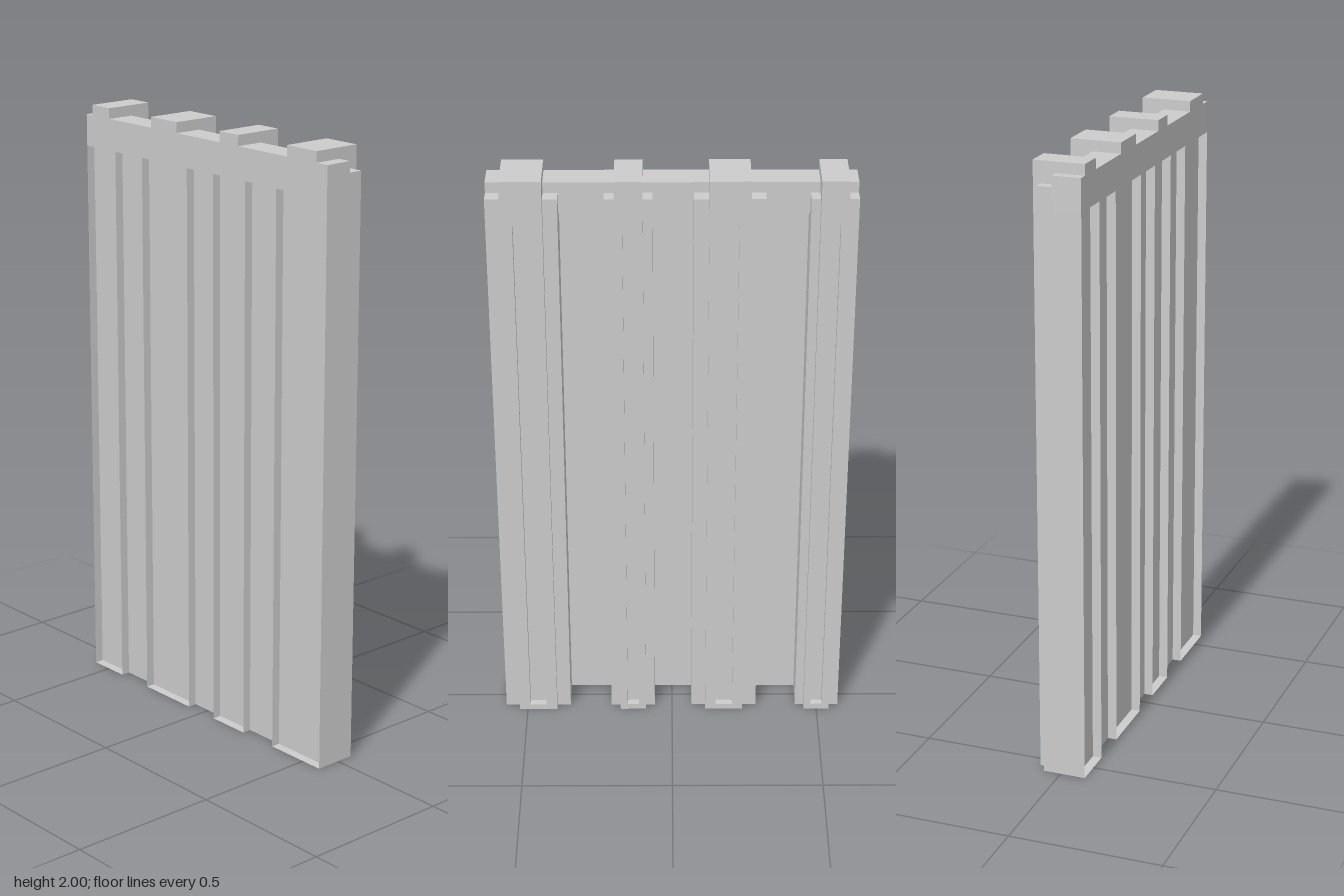
import * as THREE from 'three';

const material = new THREE.MeshStandardMaterial({ color: 0xcccccc, side: THREE.DoubleSide, flatShading: true });

const BACK = -0.083, BEAM_FRONT = 0.01, PIER_FRONT = 0.058, FRONT = 0.083, PANEL = -0.053;
const HALF = 0.575, BEAM_BOTTOM = 1.86, BEAM_TOP = 1.965, PIER_TOP = 1.93, TOP = 2;

// z ranges: pier, pilaster strip on it, and groove cut in the strip
const PIERS = [
  { pier: [0.352, 0.575], strip: [0.398, 0.528], groove: 0.055 },
  { pier: [0.06, 0.21], strip: [0.09, 0.178], groove: 0.039 },
  { pier: [-0.29, -0.067], strip: [-0.243, -0.115], groove: 0.057 },
  { pier: [-0.575, -0.427], strip: [-0.543, -0.456], groove: 0.038 },
];

function mesh(name, geometry) {
  const m = new THREE.Mesh(geometry, material);
  m.name = name;
  return m;
}

// Box given by its limits on each axis
function box(x0, x1, y0, y1, z0, z1) {
  return new THREE.BoxGeometry(x1 - x0, y1 - y0, z1 - z0)
    .translate((x0 + x1) / 2, (y0 + y1) / 2, (z0 + z1) / 2);
}

// Box without its -x side
function openBackBox(...limits) {
  const g = box(...limits);
  const index = Array.from(g.index.array);
  index.splice(6, 6);
  g.setIndex(index);
  g.clearGroups();
  return g;
}

// Rectangle outline in the z-y plane (z is mirrored by the later turn)
function rectangle(Type, z0, z1, y0, y1) {
  return new Type([[-z1, y0], [-z0, y0], [-z0, y1], [-z1, y1]].map(([x, y]) => new THREE.Vector2(x, y)));
}

// Flat strip with a long sunken groove
function stripGeometry([z0, z1], groove) {
  const mid = (z0 + z1) / 2;
  const shape = rectangle(THREE.Shape, z0, z1, 0, TOP);
  shape.holes.push(rectangle(THREE.Path, mid - groove / 2, mid + groove / 2, 0.02, 1.853));
  return new THREE.ExtrudeGeometry(shape, { depth: FRONT - PIER_FRONT, bevelEnabled: false })
    .rotateY(Math.PI / 2)
    .translate(PIER_FRONT, 0, 0);
}

export function createModel() {
  const model = new THREE.Group();
  model.name = 'pilasterWall';

  // Top beam running the full length
  model.add(mesh('topBeam', box(BACK, BEAM_FRONT, BEAM_BOTTOM, BEAM_TOP, -HALF, HALF)));

  // Thin wall sheet filling the bays
  const panel = new THREE.PlaneGeometry(2 * HALF, BEAM_BOTTOM)
    .rotateY(Math.PI / 2)
    .translate(PANEL, BEAM_BOTTOM / 2, 0);
  model.add(mesh('wallPanel', panel));

  // Piers, open at the back, each with a grooved strip and a raised cap
  PIERS.forEach(({ pier, strip, groove }, i) => {
    const group = new THREE.Group();
    group.name = `pilaster${i + 1}`;
    group.add(mesh('pier', openBackBox(BACK, PIER_FRONT, 0, PIER_TOP, ...pier)));
    group.add(mesh('groovedStrip', stripGeometry(strip, groove)));
    group.add(mesh('cap', box(BACK, PIER_FRONT, PIER_TOP, TOP, ...strip)));
    model.add(group);
  });

  return model;
}
